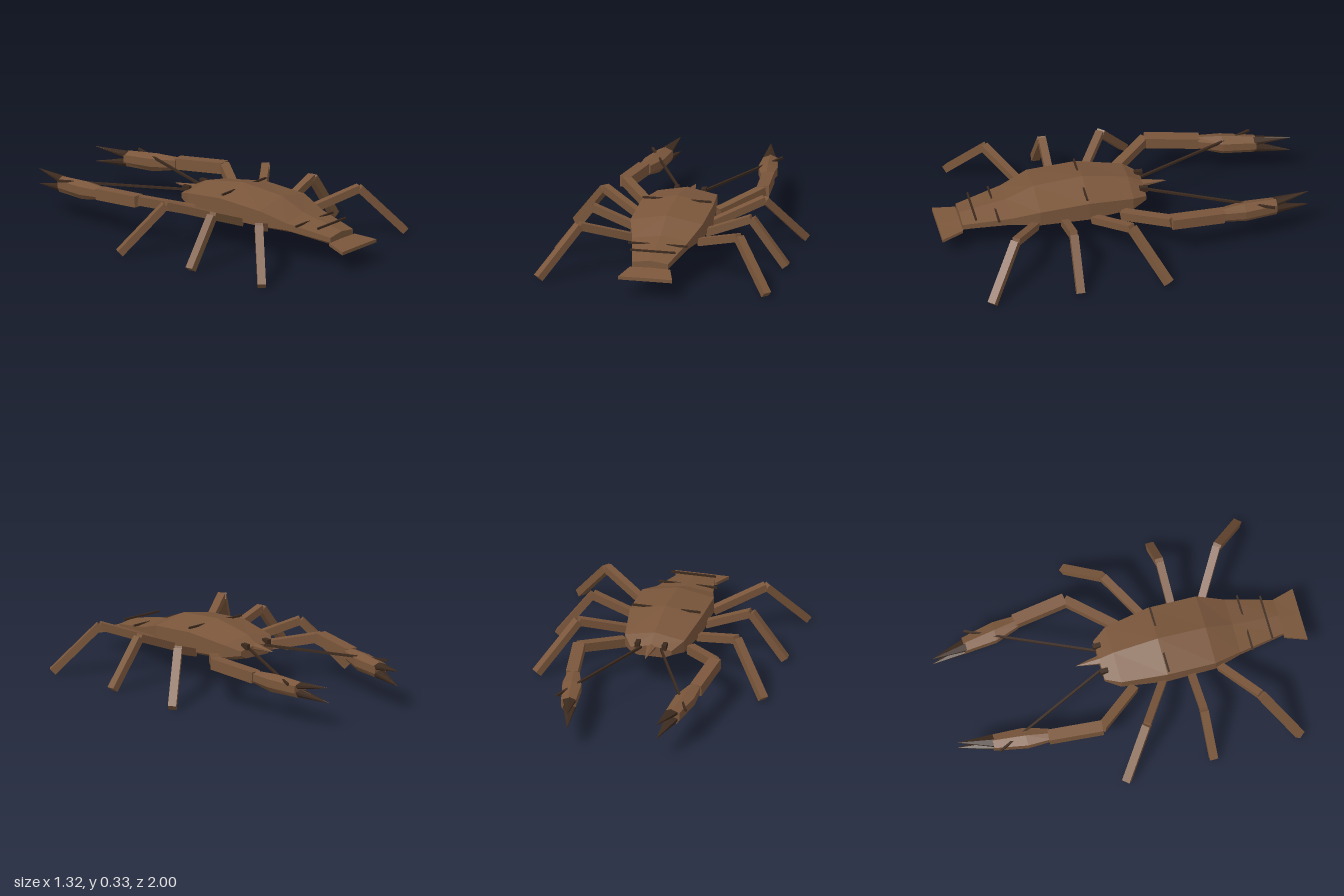
import * as THREE from 'three';

const shell = new THREE.MeshStandardMaterial({ color: 0x7a563b, flatShading: true });
shell.name = 'brown shell';
const dark = new THREE.MeshStandardMaterial({ color: 0x3b291d, flatShading: true });
dark.name = 'dark brown';

// Seven-sided ridged cross-section: half width w, flat belly of half width wb
function ring([z, cx, w, wb, top, shoulder, low, bottom]) {
  return [[wb, bottom], [w, low], [w, shoulder], [0, top], [-w, shoulder], [-w, low], [-wb, bottom]]
    .map(([x, y]) => [cx + x, y, z]);
}

// Joins cross-sections (ordered by rising z) into a closed faceted solid
function loft(name, sections, material) {
  const rings = sections.map(ring), n = rings[0].length, pos = [];
  const tri = (a, b, c) => pos.push(...a, ...b, ...c);
  for (let k = 0; k < rings.length - 1; k++) {
    for (let i = 0; i < n; i++) {
      const j = (i + 1) % n, p = rings[k], q = rings[k + 1];
      tri(p[i], p[j], q[j]);
      tri(p[i], q[j], q[i]);
    }
  }
  const first = rings[0], last = rings[rings.length - 1];
  for (let i = 1; i < n - 1; i++) {
    tri(first[0], first[i + 1], first[i]);
    tri(last[0], last[i], last[i + 1]);
  }
  const g = new THREE.BufferGeometry();
  g.setAttribute('position', new THREE.Float32BufferAttribute(pos, 3));
  g.computeVertexNormals();
  const m = new THREE.Mesh(g, material);
  m.name = name;
  return m;
}

// Square bar between two points
function bar(name, a, b, width, height, material) {
  const from = new THREE.Vector3(...a), to = new THREE.Vector3(...b);
  const m = new THREE.Mesh(new THREE.BoxGeometry(width, height, from.distanceTo(to)), material);
  m.position.copy(from).lerp(to, 0.5);
  m.lookAt(to);
  m.name = name;
  return m;
}

// One claw arm: two segments, a palm and two stacked pincer tips
function clawArm(s) {
  const g = new THREE.Group();
  g.name = s > 0 ? 'leftClawArm' : 'rightClawArm';
  g.add(
    bar('upperArm', [s * 0.185, 0.18, 0.015], [s * 0.38, 0.24, -0.22], 0.05, 0.05, shell),
    bar('forearm', [s * 0.38, 0.235, -0.215], [s * 0.345, 0.213, -0.51], 0.065, 0.062, shell),
    loft('palm', [
      [-0.81, s * 0.29, 0.04, 0.025, 0.238, 0.222, 0.18, 0.155],
      [-0.63, s * 0.315, 0.053, 0.03, 0.25, 0.23, 0.185, 0.155],
      [-0.5, s * 0.337, 0.032, 0.02, 0.245, 0.235, 0.195, 0.18],
    ], shell),
    loft('upperPincer', [
      [-0.995, s * 0.25, 0.001, 0.001, 0.236, 0.235, 0.234, 0.233],
      [-0.8, s * 0.287, 0.036, 0.025, 0.237, 0.225, 0.21, 0.2],
    ], dark),
    loft('lowerPincer', [
      [-0.995, s * 0.25, 0.001, 0.001, 0.153, 0.152, 0.151, 0.15],
      [-0.8, s * 0.287, 0.036, 0.025, 0.198, 0.188, 0.172, 0.157],
    ], dark),
  );
  return g;
}

export function createModel() {
  const model = new THREE.Group();
  model.name = 'crayfish';

  // Carapace and tapering abdomen
  model.add(loft('body', [
    [-0.13, 0, 0.115, 0.075, 0.25, 0.23, 0.205, 0.185],
    [-0.05, 0, 0.165, 0.1, 0.29, 0.258, 0.19, 0.165],
    [0.2, 0, 0.2, 0.12, 0.328, 0.285, 0.18, 0.145],
    [0.47, 0, 0.2, 0.12, 0.302, 0.265, 0.18, 0.148],
    [0.62, 0, 0.157, 0.105, 0.236, 0.215, 0.175, 0.15],
    [0.88, 0, 0.1, 0.085, 0.182, 0.168, 0.14, 0.125],
  ], shell));

  // Flared tail fan
  model.add(loft('tailFan', [
    [0.88, 0, 0.112, 0.112, 0.142, 0.14, 0.126, 0.124],
    [1.0, 0, 0.15, 0.15, 0.123, 0.122, 0.106, 0.104],
  ], shell));

  // Pointed snout
  model.add(loft('rostrum', [
    [-0.26, 0, 0.001, 0.001, 0.236, 0.235, 0.234, 0.233],
    [-0.12, 0, 0.026, 0.018, 0.255, 0.245, 0.228, 0.22],
  ], shell));

  // Thin ridges across the back: z, height, half length
  for (const [z, y, half] of [[0.21, 0.305, 0.19], [0.69, 0.21, 0.163], [0.81, 0.212, 0.125]]) {
    model.add(bar('backRidge', [-half, y, z], [half, y, z], 0.01, 0.01, dark));
  }

  for (const s of [1, -1]) {
    model.add(clawArm(s));
    model.add(bar('eye', [s * 0.075, 0.25, -0.145], [s * 0.075, 0.25, -0.1], 0.025, 0.03, dark));
    model.add(bar('antenna', [s * 0.055, 0.235, -0.13], [s * 0.36, 0.232, -0.79], 0.012, 0.012, dark));

    // Walking legs: front, middle and back, splayed by k
    for (const k of [-1, 0, 1]) {
      const leg = new THREE.Group();
      leg.name = ['frontLeg', 'middleLeg', 'backLeg'][k + 1];
      const knee = [s * 0.442, 0.272, 0.335 + k * 0.32];
      leg.add(
        bar('thigh', [s * 0.19, 0.175, 0.335 + k * 0.16], knee, 0.042, 0.042, shell),
        bar('shin', knee, [s * 0.632, 0.016, 0.335 + k * 0.487], 0.045, 0.04, shell),
      );
      model.add(leg);
    }
  }
  return model;
}
